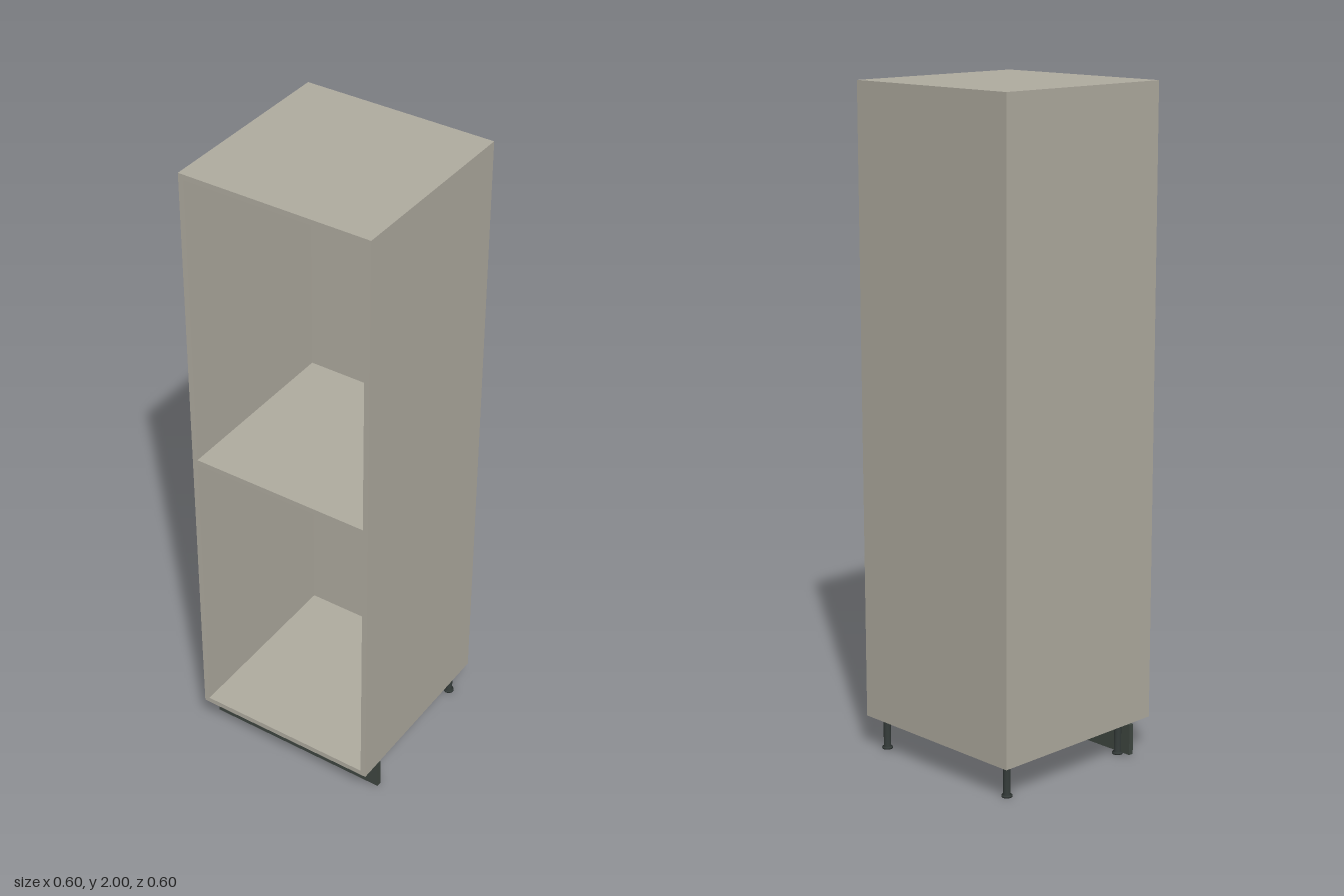
import * as THREE from 'three';

export function createModel() {
  const model = new THREE.Group();
  const board = new THREE.MeshStandardMaterial({ color: 0xb0aca0 });
  const dark = new THREE.MeshStandardMaterial({ color: 0x3f4741 });
  const legMat = new THREE.MeshStandardMaterial({ color: 0x353c3a });

  const W = 0.6, D = 0.6, T = 0.017, base = 0.104, top = 2;
  const inner = W - 2 * T;

  // Box given by its centre in x and its ranges in y and z
  function panel(name, width, x, y0, y1, z0, z1, mat = board) {
    const mesh = new THREE.Mesh(new THREE.BoxGeometry(width, y1 - y0, z1 - z0), mat);
    mesh.position.set(x, (y0 + y1) / 2, (z0 + z1) / 2);
    mesh.name = name;
    model.add(mesh);
  }

  // Carcass: full-height sides with the other boards between them
  panel('leftSide', T, (W - T) / 2, base, top, -D / 2, D / 2);
  panel('rightSide', T, -(W - T) / 2, base, top, -D / 2, D / 2);
  panel('bottomPanel', inner, 0, base, base + T, -D / 2, D / 2);
  panel('topPanel', inner, 0, top - T, top, -D / 2, D / 2);
  panel('backPanel', inner, 0, base + T, top - T, -D / 2, -D / 2 + T);
  panel('shelf', inner, 0, 1.045, 1.045 + T, -D / 2 + T, D / 2);

  // Plinth, set back under the front
  panel('plinth', W, 0, 0.004, 0.099, 0.214, 0.23, dark);

  // Round adjustable legs: foot disc, stem and top collar in one profile
  const profile = [
    [0, 0], [0.016, 0], [0.016, 0.005], [0.011, 0.008],
    [0.011, 0.096], [0.013, 0.098], [0.013, base], [0, base],
  ].map(([r, y]) => new THREE.Vector2(r, y));
  const legGeometry = new THREE.LatheGeometry(profile, 20);
  for (const [z, label] of [[0.208, 'front'], [-0.257, 'back']]) {
    for (const side of [1, -1]) {
      const leg = new THREE.Mesh(legGeometry, legMat);
      leg.position.set(side * 0.258, 0, z);
      leg.name = label + (side > 0 ? 'Left' : 'Right') + 'Leg';
      model.add(leg);
    }
  }
  return model;
}
